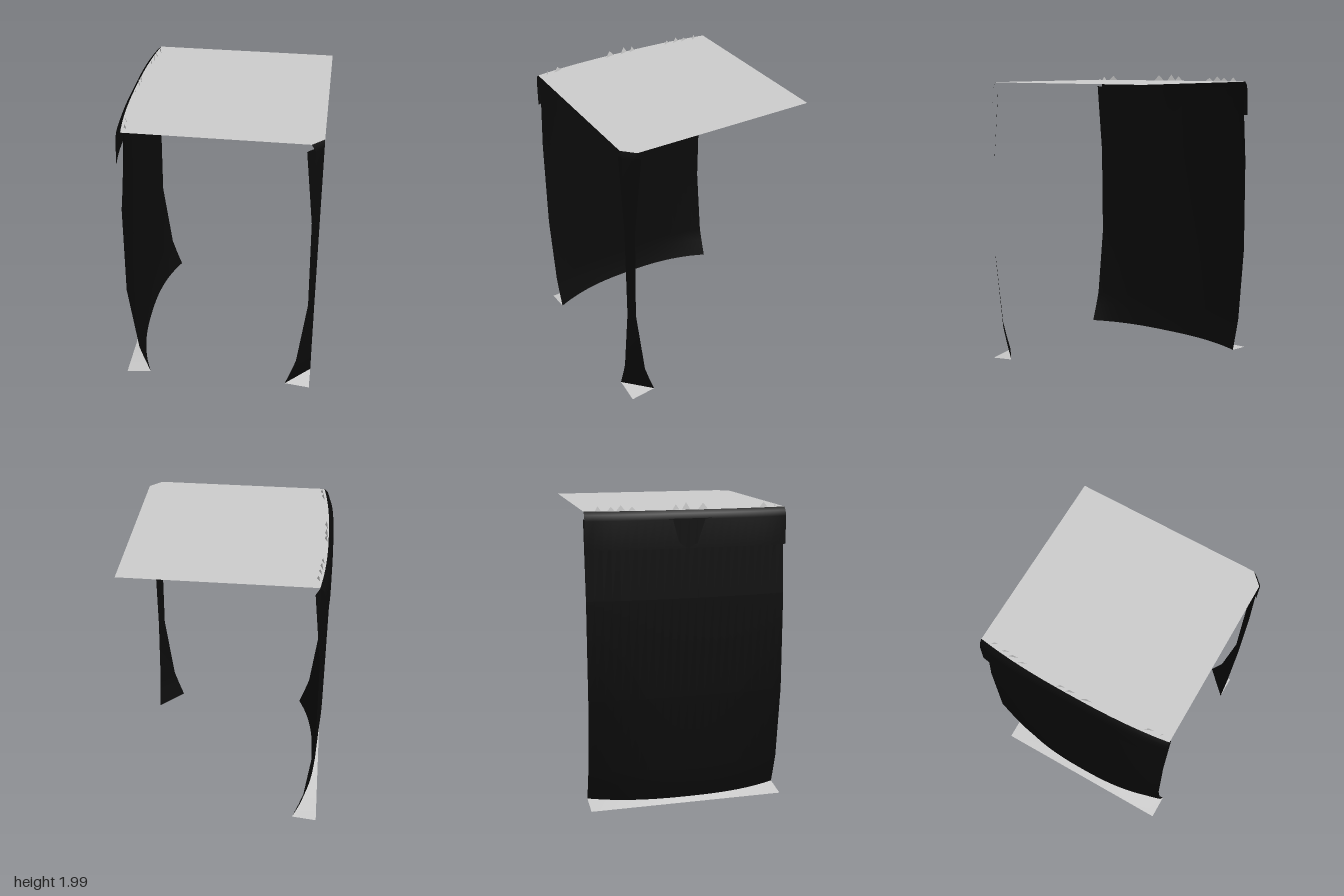
import * as THREE from 'three';

const H = 0.65; // half width of the square plan
const TOP = 1.955;

const grey = new THREE.MeshStandardMaterial({ color: 0xcccccc, side: THREE.DoubleSide });
const black = new THREE.MeshStandardMaterial({ color: 0x0a0a0a, side: THREE.DoubleSide });

// Skin a sheet through rows of points (every row the same length)
function sheet(name, rows, material) {
  const n = rows[0].length;
  const index = [];
  for (let r = 0; r < rows.length - 1; r++) {
    for (let i = 0; i < n - 1; i++) {
      const a = r * n + i, b = a + 1, c = a + n, d = c + 1;
      index.push(a, b, d, a, d, c);
    }
  }
  const geo = new THREE.BufferGeometry();
  geo.setAttribute('position', new THREE.Float32BufferAttribute(rows.flat(2), 3));
  geo.setIndex(index);
  geo.computeVertexNormals();
  const mesh = new THREE.Mesh(geo, material);
  mesh.name = name;
  return mesh;
}

// Row across the side wall: bowed outward in the middle, curling in at both ends
const SEG = 24;
function bowedRow(y, mid, end, power = 2.5) {
  return Array.from({ length: SEG + 1 }, (_, i) => {
    const t = (i / SEG) * 2 - 1;
    return [-H + mid + (end - mid) * Math.abs(t) ** power, y, t * H];
  });
}

// Row across the front corner: a diagonal cut at distance d from the corner
const cornerRow = (y, d) => [[H - d, y, H], [H, y, H - d]];

export function createModel() {
  const model = new THREE.Group();

  // [height, inset at the middle, inset at the ends]
  const profile = [
    [0.03, 0.05, 0.17], [0.15, 0.025, 0.13], [0.25, 0.02, 0.1],
    [0.75, 0.003, 0.04], [1.4, 0.003, 0.048], [1.905, 0.003, 0.1],
  ];
  model.add(sheet('sideWall', profile.map(([y, m, e]) => bowedRow(y, m, e)), black));
  model.add(sheet('cornerPost', profile.map(([y, , e]) => cornerRow(y, e)), black));

  // Skirts that hang outside the wall and post and curl over to the roof
  model.add(sheet('sideSkirt', [
    bowedRow(1.72, 0.003, 0.036, 4), bowedRow(1.9, 0.004, 0.042, 4),
    bowedRow(1.935, 0.014, 0.052, 3), bowedRow(TOP, 0.035, 0.075),
  ], black));
  model.add(sheet('cornerSkirt', [
    cornerRow(1.72, 0.045), cornerRow(1.91, 0.048), cornerRow(TOP, 0.075),
  ], black));

  // Flat roof: bowed side edge, clipped front corner
  const edge = bowedRow(0, 0.035, 0.075);
  const outline = [...edge.map(([x, , z]) => new THREE.Vector2(x, -z)),
    new THREE.Vector2(H - 0.075, -H), new THREE.Vector2(H, -H + 0.075), new THREE.Vector2(H, H)];
  const roof = new THREE.Mesh(new THREE.ShapeGeometry(new THREE.Shape(outline)), grey);
  roof.rotation.x = -Math.PI / 2;
  roof.position.y = TOP;
  roof.name = 'roof';
  model.add(roof);

  // Thin base plates outside the feet of the wall and post
  model.add(sheet('sideBase', [bowedRow(0.01, 0, 0), bowedRow(0.03, 0.05, 0.17)], grey));
  model.add(sheet('cornerBase', [
    [[H, 0.01, H], [H, 0.01, H]], cornerRow(0.03, 0.17),
  ], grey));

  // Small ragged tufts along the roof's side edge: [z, half width, height]
  const tufts = new THREE.Group();
  tufts.name = 'edgeTufts';
  for (const [z, w, h] of [[0.59, 0.01, 0.025], [0.51, 0.03, 0.032], [0.1, 0.035, 0.04],
    [-0.01, 0.03, 0.045], [-0.075, 0.025, 0.034], [-0.35, 0.025, 0.025],
    [-0.42, 0.03, 0.034], [-0.48, 0.025, 0.025], [-0.56, 0.02, 0.03]]) {
    const x = -0.61 + 0.05 * (Math.abs(z) / H) ** 2;
    tufts.add(sheet('tuft', [
      [[x, TOP, z - w], [x + 0.02, TOP, z + w]],
      [[x + 0.01, TOP + h, z], [x + 0.01, TOP + h, z]],
    ], grey));
  }
  model.add(tufts);

  return model;
}
